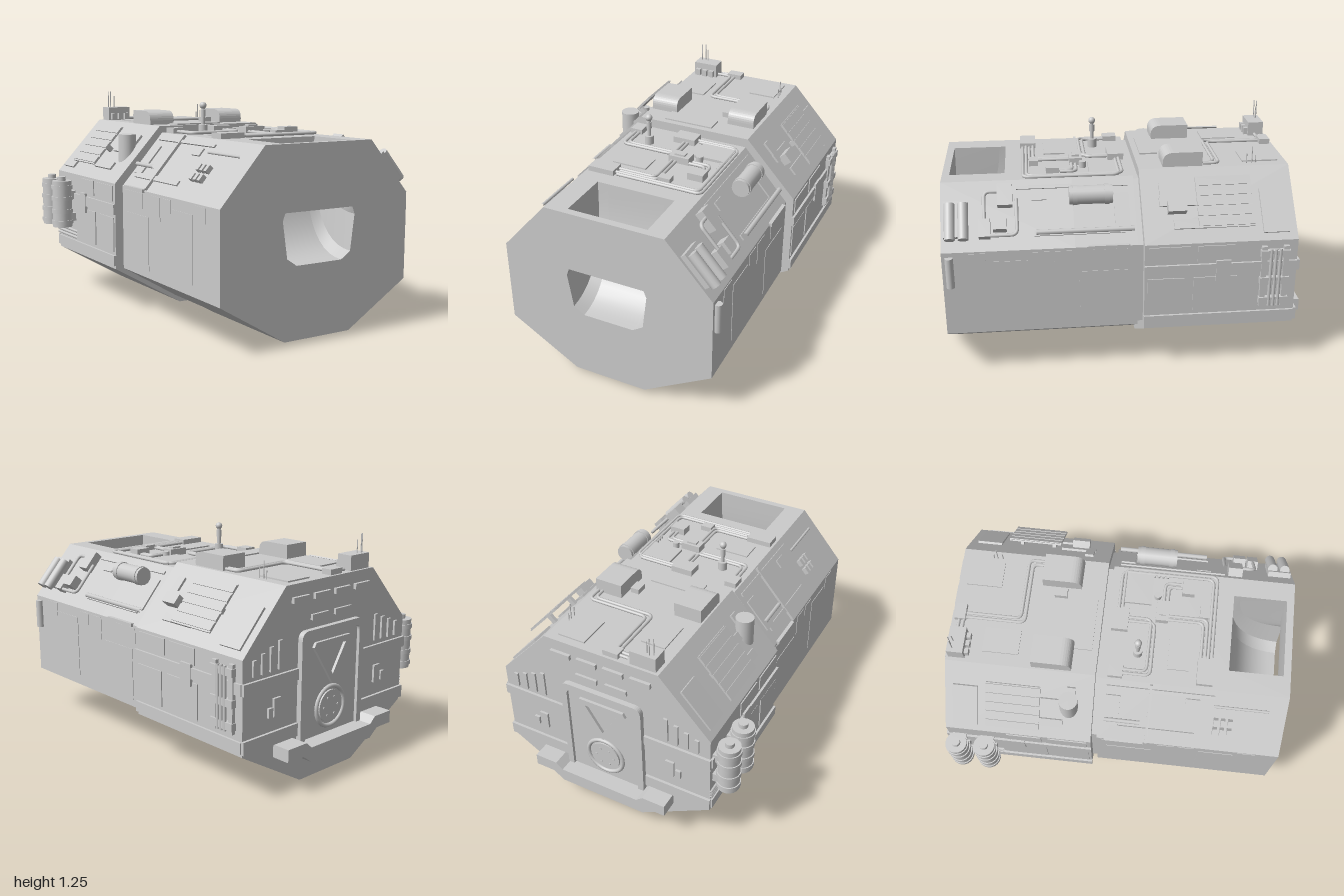
import * as THREE from 'three';

const CX = 0.05; // hull centre line
const grey = new THREE.MeshStandardMaterial({ color: 0xcccccc, flatShading: true });
const smooth = new THREE.MeshStandardMaterial({ color: 0xcccccc });
const thin = new THREE.MeshStandardMaterial({ color: 0xcccccc, side: THREE.DoubleSide });

function add(parent, name, geo, x = 0, y = 0, z = 0, mat = grey) {
  const m = new THREE.Mesh(geo, mat);
  m.name = name;
  m.position.set(x, y, z);
  parent.add(m);
  return m;
}
const box = (p, name, x, y, z, w, h, d) => add(p, name, new THREE.BoxGeometry(w, h, d), x, y, z);
const cyl = (p, name, x, y, z, r, h, n = 20) => add(p, name, new THREE.CylinderGeometry(r, r, h, n), x, y, z, n > 8 ? smooth : grey);
const poly = pts => new THREE.Shape(pts.map(p => new THREE.Vector2(...p)));
const extrude = (shape, depth) => new THREE.ExtrudeGeometry(shape, { depth, bevelEnabled: false, curveSegments: 8 });

// Eight-sided hull outline, counter-clockwise from bottom left
function outline(bot, botY, side, lo, hi, top, topY) {
  return [[-bot, botY], [bot, botY], [side, lo], [side, hi], [top, topY], [-top, topY], [-side, hi], [-side, lo]]
    .map(([x, y]) => [x + CX, y]);
}

function roundRect(w, h, r) {
  const s = new THREE.Shape(), x = w / 2, y = h / 2;
  s.moveTo(-x + r, -y).lineTo(x - r, -y).quadraticCurveTo(x, -y, x, -y + r).lineTo(x, y - r);
  s.quadraticCurveTo(x, y, x - r, y).lineTo(-x + r, y).quadraticCurveTo(-x, y, -x, y - r);
  s.lineTo(-x, -y + r).quadraticCurveTo(-x, -y, -x + r, -y);
  return s;
}

// Pipe through points with rounded bends
function pipe(parent, name, points, r = 0.01, bend = 0.035) {
  const p = points.map(a => new THREE.Vector3(...a)), path = new THREE.CurvePath();
  let from = p[0];
  for (let i = 1; i < p.length - 1; i++) {
    const a = p[i].clone().add(p[i - 1].clone().sub(p[i]).setLength(bend));
    const b = p[i].clone().add(p[i + 1].clone().sub(p[i]).setLength(bend));
    path.add(new THREE.LineCurve3(from, a));
    path.add(new THREE.QuadraticBezierCurve3(a, p[i], b));
    from = b;
  }
  path.add(new THREE.LineCurve3(from, p[p.length - 1]));
  add(parent, name, new THREE.TubeGeometry(path, 22 * p.length, r, 8), 0, 0, 0, smooth);
}

// Group lying on an upper slope: local y points outward, side * x runs downhill
function slope(root, name, side, x, y, angle) {
  const g = new THREE.Group();
  g.name = name;
  g.position.set(CX + side * x, y, 0);
  g.rotation.z = -side * angle;
  root.add(g);
  return g;
}

function strips(rows) { // each row is a pair of point lists joined by a ribbon
  const pos = [], idx = [];
  for (const [a, b] of rows) {
    const o = pos.length / 3;
    a.forEach((p, i) => {
      pos.push(...p, ...b[i]);
      if (i) { const k = o + 2 * i; idx.push(k - 2, k - 1, k + 1, k - 2, k + 1, k); }
    });
  }
  const g = new THREE.BufferGeometry();
  g.setAttribute('position', new THREE.Float32BufferAttribute(pos, 3));
  g.setIndex(idx);
  g.computeVertexNormals();
  return g;
}

function buildHull(root) {
  const nose = outline(0.21, 0.025, 0.6, 0.26, 0.74, 0.34, 1.035);
  add(root, 'rearHull', extrude(poly(outline(0.21, 0, 0.635, 0.25, 0.75, 0.34, 1.07)), 0.83), 0, 0, -0.895);
  add(root, 'seam', extrude(poly(outline(0.2, 0.05, 0.58, 0.27, 0.73, 0.33, 1.015)), 0.04), 0, 0, -0.07);
  add(root, 'middleHull', extrude(poly(outline(0.26, 0.055, 0.6, 0.26, 0.74, 0.34, 1.035)), 0.335), 0, 0, -0.035);
  // Nose shell: walls, pierced front plate and pierced roof
  const walls = nose.map((a, i) => [a, nose[(i + 1) % 8], i]).filter(e => e[2] !== 4)
    .map(([a, b]) => [[[...a, 0.3], [...a, 1]], [[...b, 0.3], [...b, 1]]]);
  add(root, 'noseWalls', strips(walls), 0, 0, 0, thin);
  const mouth = [[-0.09, 0.415], [0.2, 0.415], [0.26, 0.455], [0.285, 0.65], [0.27, 0.69], [-0.165, 0.69], [-0.18, 0.65], [-0.15, 0.455]];
  const exit = [[-0.11, 0.66], [0.22, 0.66], [0.28, 0.66], [0.28, 0.7], [0.28, 0.96], [-0.17, 0.96], [-0.17, 0.7], [-0.17, 0.66]];
  const front = poly(nose);
  front.holes.push(poly(mouth));
  add(root, 'frontPlate', new THREE.ShapeGeometry(front), 0, 0, 1, thin);
  const roof = poly([[-0.29, -1], [0.39, -1], [0.39, -0.3], [-0.29, -0.3]]);
  roof.holes.push(poly([[-0.17, -0.96], [0.28, -0.96], [0.28, -0.66], [-0.17, -0.66]]));
  add(root, 'noseRoof', new THREE.ShapeGeometry(roof), 0, 1.035, 0, thin).rotation.x = -Math.PI / 2;
  // Curved duct from the front opening up to the roof opening
  const rails = mouth.map(([x, y], i) => new THREE.QuadraticBezierCurve3(
    new THREE.Vector3(x, y, 1), new THREE.Vector3((x + exit[i][0]) / 2, y, exit[i][1]),
    new THREE.Vector3(exit[i][0], 1.035, exit[i][1])).getPoints(12).map(v => v.toArray()));
  add(root, 'duct', strips(rails.map((r, i) => [r, rails[(i + 1) % 8]])), 0, 0, 0, thin);
  // Belly vent in the shallow recess
  box(root, 'bellyVentTray', CX, 0.05, 0.135, 0.34, 0.02, 0.24);
  for (let i = 0; i < 5; i++) box(root, 'bellyVentSlat', CX, 0.04, 0.05 + i * 0.043, 0.28, 0.02, 0.018);
}

function buildRear(root) {
  const g = new THREE.Group(); // local +z points backward
  g.name = 'rearFace';
  g.position.set(CX, 0, -0.895);
  g.rotation.y = Math.PI;
  root.add(g);
  const frame = roundRect(0.49, 0.68, 0.05);
  frame.holes.push(roundRect(0.42, 0.61, 0.04));
  add(g, 'doorFrame', extrude(frame, 0.03), 0, 0.48, 0);
  add(g, 'doorPanel', extrude(roundRect(0.42, 0.61, 0.04), 0.012), 0, 0.48, 0);
  const tri = poly([[0, 0.5], [0.15, 0.72], [0.135, 0.745], [-0.135, 0.745], [-0.15, 0.72]]);
  tri.holes.push(poly([[0, 0.55], [0.1, 0.71], [-0.1, 0.71]]));
  add(g, 'doorTriangle', extrude(tri, 0.028));
  add(g, 'doorRing', new THREE.TorusGeometry(0.11, 0.012, 8, 32), 0, 0.37, 0.014, smooth);
  cyl(g, 'doorDisc', 0, 0.37, 0.012, 0.09, 0.02, 32).rotation.x = Math.PI / 2;
  for (let i = 0; i < 6; i++) {
    const a = i * Math.PI / 3;
    cyl(g, 'discBolt', 0.055 * Math.cos(a), 0.37 + 0.055 * Math.sin(a), 0.02, 0.007, 0.012, 8).rotation.x = Math.PI / 2;
  }
  for (const s of [-1, 1]) {
    box(g, 'rearBand', s * 0.445, 0.6, 0.005, 0.39, 0.06, 0.02);
    box(g, 'lowerBand', s * 0.445, 0.3, 0.005, 0.39, 0.07, 0.02);
    for (let i = 0; i < 4; i++) box(g, 'rearLouvre', s * (0.38 + i * 0.06), 0.73 - i * 0.012, 0.004, 0.025, 0.15 - i * 0.022, 0.016);
    for (const x of [0.08, 0.24]) box(g, 'topBar', s * x, 0.99, 0.008, 0.12, 0.03, 0.02);
    box(g, 'topBar', s * 0.09, 0.88, 0.006, 0.13, 0.03, 0.016);
    box(g, 'rearLatch', s * 0.4, 0.46, 0.005, 0.05, 0.1, 0.016);
    box(g, 'rearLatch', s * 0.45, 0.44, 0.005, 0.03, 0.05, 0.02);
  }
  add(g, 'step', extrude(poly([[-0.24, 0.145], [0.24, 0.145], [0.3, 0.19], [0.415, 0.19], [0.415, 0.26],
    [0.28, 0.26], [0.24, 0.225], [-0.24, 0.225], [-0.28, 0.26], [-0.415, 0.26], [-0.415, 0.19], [-0.3, 0.19]]), 0.105));
}

function buildSides(root) {
  for (const s of [-1, 1]) {
    const plate = (x, y, z, h, d, t = 0.012) => box(root, 'sidePlate', CX + s * x, y, z, t, h, d);
    plate(0.638, 0.6, -0.478, 0.06, 0.83, 0.02);
    plate(0.638, 0.3, -0.478, 0.06, 0.83, 0.02);
    plate(0.645, 0.59, -0.49, 0.12, 0.08, 0.016);
    // Thin armour panels, [z, y, depth, height]
    for (const [z, y, d, h] of [[-0.2, 0.69, 0.22, 0.09], [-0.45, 0.69, 0.2, 0.09], [-0.18, 0.45, 0.2, 0.2], [-0.45, 0.45, 0.24, 0.2]])
      plate(0.635, y, z, h, d);
    for (const [z, y, d, h] of [[0.1, 0.68, 0.22, 0.09], [0.15, 0.45, 0.26, 0.3], [0.36, 0.66, 0.1, 0.13], [0.48, 0.69, 0.09, 0.07], [0.65, 0.5, 0.2, 0.36], [0.82, 0.69, 0.1, 0.08]])
      plate(0.599, y, z, h, d, 0.008);
    plate(0.603, 0.74, 0.12, 0.02, 0.22, 0.02);
  }
  // Equipment rack on the +x side
  for (const z of [-0.71, -0.83]) box(root, 'rackPost', 0.69, 0.54, z, 0.03, 0.36, 0.03);
  for (const y of [0.4, 0.52, 0.68]) box(root, 'rackBar', 0.695, y, -0.77, 0.04, 0.04, 0.16);
  for (const z of [-0.745, -0.77, -0.795]) pipe(root, 'rackHose', [[0.71, 0.37, z], [0.71, 0.71, z]], 0.009);
  cyl(root, 'sideCanister', 0.66, 0.63, 0.96, 0.022, 0.17, 12);
  // Gas bottles on the -x side
  for (const z of [-0.83, -0.67]) {
    cyl(root, 'gasBottle', -0.66, 0.565, z, 0.06, 0.29);
    for (const y of [0.45, 0.52, 0.6, 0.67]) cyl(root, 'bottleBand', -0.66, y, z, 0.066, 0.025);
    cyl(root, 'bottleValve', -0.66, 0.72, z, 0.025, 0.03);
    for (const y of [0.48, 0.62]) box(root, 'bottleBracket', -0.595, y, z, 0.05, 0.05, 0.08);
  }
  for (const y of [0.35, 0.37, 0.39]) pipe(root, 'sideHose', [[-0.59, y, -0.9], [-0.59, y, -0.6]], 0.008);
}

function buildSlopes(root) {
  for (const s of [-1, 1]) {
    const r = slope(root, 'rearSlope', s, 0.4875, 0.91, 0.834);
    // Striped raised panel standing off the slope
    box(r, 'solarPanel', s * 0.005, 0.055, -0.505, 0.29, 0.008, 0.3);
    for (let i = 0; i < 5; i++) box(r, 'panelStripe', s * (-0.11 + i * 0.057), 0.06, -0.505, 0.045, 0.008, 0.3);
    for (const z of [-0.6, -0.41]) box(r, 'panelStrut', 0, 0.025, z, 0.03, 0.06, 0.02);
    for (const [u, z, w, d] of [[-0.08, -0.19, 0.1, 0.05], [0.11, -0.34, 0.05, 0.22], [-0.02, -0.26, 0.05, 0.2], [0.05, -0.78, 0.25, 0.14]])
      box(r, 'slopePlate', s * u, 0, z, w, 0.025, d);
    const f = slope(root, 'frontSlope', s, 0.47, 0.8875, 0.848);
    for (const [u, z, w, d] of [[-0.1, 0.48, 0.05, 0.08], [-0.15, 0.3, 0.02, 0.6], [0.11, 0.27, 0.03, 0.48], [0, 0.04, 0.2, 0.08]])
      box(f, 'slopePlate', s * u, 0, z, w, 0.018, d);
    if (s > 0) {
      cyl(f, 'slopeTank', -0.08, 0.05, 0.205, 0.05, 0.23).rotation.x = Math.PI / 2;
      for (const z of [0.12, 0.29]) cyl(f, 'tankBand', -0.08, 0.05, z, 0.054, 0.025).rotation.x = Math.PI / 2;
      pipe(f, 'slopeRail', [[0.11, 0.025, -0.02], [0.11, 0.025, 0.5]], 0.014);
      for (const [u, z, w, d, h] of [[-0.1, 0.66, 0.12, 0.08, 0.05], [0.06, 0.69, 0.07, 0.07, 0.06], [0.08, 0.77, 0.1, 0.06, 0.05], [0.02, 0.92, 0.2, 0.13, 0.03]])
        box(f, 'slopeUnit', u, h / 2, z, w, h, d);
      for (const z of [0.88, 0.95]) cyl(f, 'slopeCanister', 0.04, 0.04, z, 0.028, 0.2, 14).rotation.z = Math.PI / 2;
      pipe(f, 'slopePipe', [[-0.12, 0.04, 0.62], [-0.12, 0.04, 0.77], [0.05, 0.04, 0.77]]);
      pipe(f, 'slopePipe', [[-0.08, 0.03, 0.6], [0.12, 0.03, 0.6], [0.12, 0.03, 0.74]]);
      box(r, 'slopeUnit', 0.02, 0.03, -0.25, 0.06, 0.05, 0.1);
    } else {
      for (let i = 0; i < 3; i++) for (const u of [0, 0.06]) box(f, 'slopeSocket', -u, 0.012, 0.62 + i * 0.04, 0.04, 0.03, 0.025);
      pipe(f, 'slopeRod', [[0.1, 0.015, 0.6], [0.1, 0.015, 0.9]], 0.008);
      pipe(f, 'slopeRod', [[-0.05, 0.025, 0], [-0.05, 0.025, 0.2]], 0.012);
      box(f, 'slopeRib', 0, 0.005, 0.245, 0.38, 0.02, 0.015);
      cyl(root, 'slopeDrum', -0.435, 0.93, -0.2, 0.052, 0.18);
    }
  }
}

function buildRoof(root) {
  // Rounded housings
  const hood = new THREE.Shape();
  hood.moveTo(-0.11, 0).lineTo(0.11, 0).lineTo(0.11, 0.03).quadraticCurveTo(0.11, 0.085, 0.05, 0.085).lineTo(-0.11, 0.085);
  for (const x of [-0.28, 0.21]) add(root, 'roofHousing', extrude(hood, 0.16), x + 0.16, 1.065, -0.31).rotation.y = -Math.PI / 2;
  // Aerials
  box(root, 'aerialBox', -0.195, 1.11, -0.835, 0.15, 0.085, 0.09);
  for (const x of [-0.24, -0.195, -0.15]) box(root, 'aerialSocket', x, 1.095, -0.78, 0.03, 0.04, 0.025);
  for (const [x, z, h] of [[-0.245, -0.85, 0.19], [-0.225, -0.86, 0.19], [-0.205, -0.85, 0.16], [0.35, -0.7, 0.1], [0.35, -0.67, 0.06], [0.35, -0.72, 0.05]])
    cyl(root, 'aerial', x, 1.065 + h / 2, z, 0.003, h, 6);
  // Lamp mast
  cyl(root, 'mast', -0.125, 1.11, 0.15, 0.011, 0.16, 12);
  cyl(root, 'mastBase', -0.125, 1.06, 0.15, 0.026, 0.05);
  cyl(root, 'mastCollar', -0.125, 1.15, 0.15, 0.015, 0.04);
  add(root, 'mastLamp', new THREE.SphereGeometry(0.02, 16, 12), -0.125, 1.195, 0.15, smooth);
  // Roof units, [x, z, width, depth, height]
  for (const [x, z, w, d, h] of [[-0.245, 0.04, 0.07, 0.08, 0.03], [0.06, 0.035, 0.13, 0.09, 0.035], [0.27, 0.12, 0.2, 0.16, 0.015],
    [0.13, 0.265, 0.12, 0.07, 0.04], [0.13, 0.265, 0.06, 0.04, 0.05], [0.29, 0.4, 0.09, 0.07, 0.04], [-0.2, 0.53, 0.15, 0.09, 0.03],
    [0.15, 0.5, 0.07, 0.05, 0.03], [-0.1, 0.38, 0.2, 0.12, 0.008]])
    box(root, 'roofUnit', x, 1.035 + h / 2, z, w, h, d);
  for (const [x, z, w, d, h] of [[-0.005, -0.85, 0.09, 0.06, 0.03], [0.17, -0.31, 0.05, 0.07, 0.03], [-0.15, -0.6, 0.14, 0.2, 0.008], [0.25, -0.75, 0.16, 0.2, 0.008], [0, -0.15, 0.3, 0.1, 0.008]])
    box(root, 'roofUnit', x, 1.07 + h / 2, z, w, h, d);
  for (let i = 0; i < 4; i++) cyl(root, 'roofBolt', 0.35, 1.04, 0.2 + i * 0.025, 0.008, 0.02, 8);
  cyl(root, 'roofKnob', 0.225, 1.05, 0.23, 0.02, 0.04);
  // Paired pipes, [height, offset x, offset z, then x/z points]
  const runs = [
    [1.08, 0.024, -0.024, [[-0.12, -0.83], [-0.03, -0.83], [-0.03, -0.49], [0.33, -0.49], [0.33, -0.4]]],
    [1.045, 0.022, -0.022, [[-0.25, 0.08], [-0.25, 0.23], [0.06, 0.23], [0.06, 0.07]]],
    [1.045, 0.02, 0.02, [[0.12, 0.02], [0.36, 0.02], [0.36, 0.54], [-0.13, 0.54]]],
    [1.045, 0.022, 0.022, [[0.09, 0.28], [0.09, 0.5], [-0.13, 0.5]]],
    [1.045, 0.022, -0.022, [[0.18, 0.29], [0.29, 0.29], [0.29, 0.38]]],
  ];
  for (const [y, dx, dz, pts] of runs) for (const k of [0, 1])
    pipe(root, 'roofPipe', pts.map(([x, z]) => [x + k * dx, y, z + k * dz]), 0.009);
}

export function createModel() {
  const root = new THREE.Group();
  root.name = 'armouredModule';
  buildHull(root);
  buildRear(root);
  buildSides(root);
  buildSlopes(root);
  buildRoof(root);
  return root;
}
